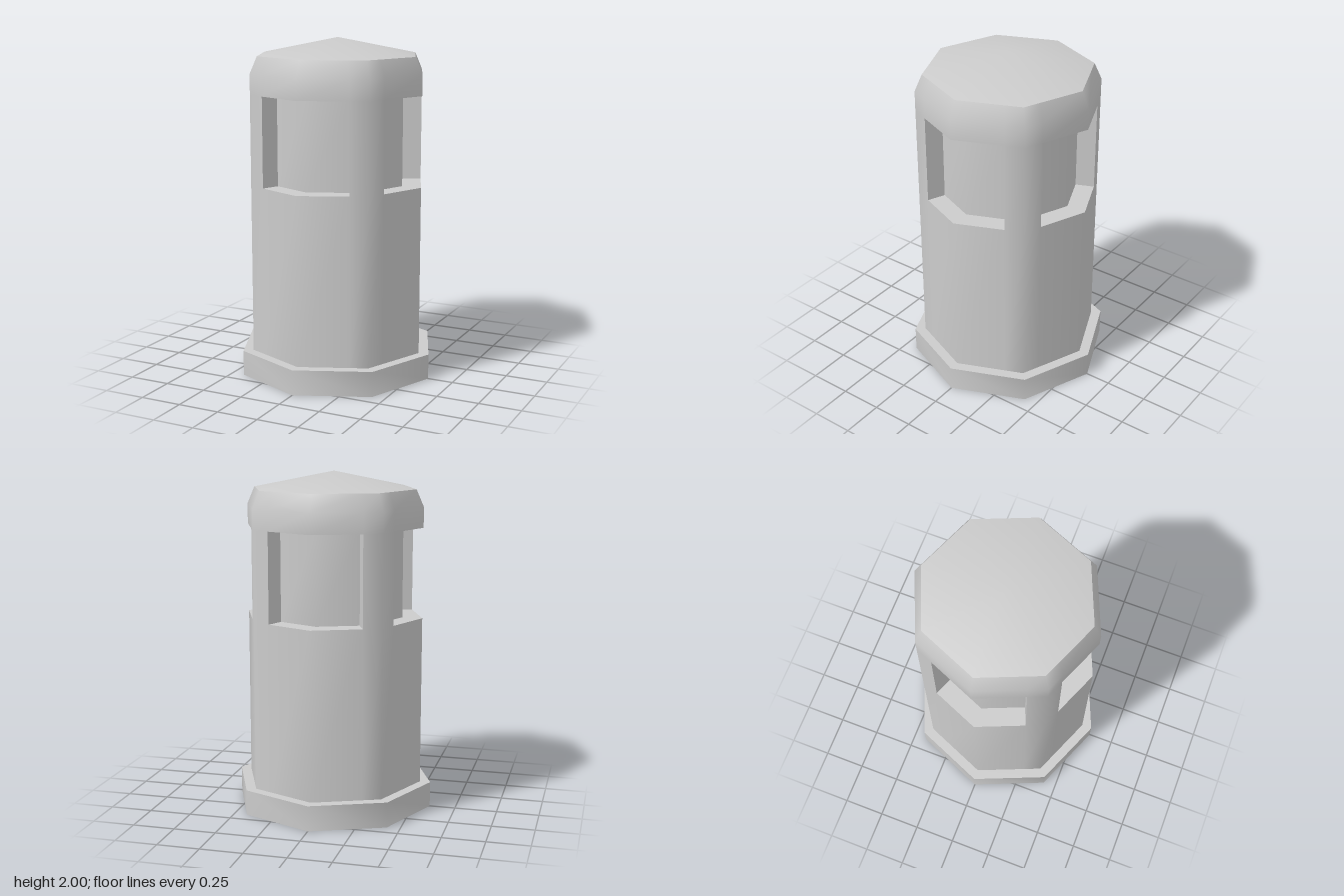
import * as THREE from 'three';
import { toCreasedNormals } from 'three/addons/utils/BufferGeometryUtils.js';

const SIDES = 8;
const R = 0.534;                         // body corner radius
const FLOOR = 0.15, SILL = 1.15, HEAD = 1.68, SHOULDER = 1.8, EAVE = 1.9;
const CREASE = 0.87;                     // smooth around the octagon, sharp elsewhere

const material = new THREE.MeshStandardMaterial({ color: 0xcccccc, side: THREE.DoubleSide });

function addMesh(parent, name, geometry) {
  const mesh = new THREE.Mesh(geometry, material);
  mesh.name = name;
  parent.add(mesh);
}

// Octagonal shell with a corner on each axis, from a bottom-to-top profile
function shell(profile) {
  const points = profile.map(([r, y]) => new THREE.Vector2(r, y));
  return toCreasedNormals(new THREE.LatheGeometry(points, SIDES), CREASE);
}

// Collects quads for one side and repeats them on all four sides
class Quads {
  constructor() { this.corners = []; }
  // corners counter-clockwise, each [x, y, z]
  add(a, b, c, d) { this.corners.push(a, b, c, a, c, d); }
  // band between two outlines of [x, z] points
  band(low, y0, high, y1, skip = () => false) {
    for (let i = 0; i < low.length - 1; i++) {
      if (skip(i)) continue;
      const at = ([x, z], y) => [x, y, z];
      this.add(at(low[i], y0), at(low[i + 1], y0), at(high[i + 1], y1), at(high[i], y1));
    }
  }
  build() {
    const positions = [];
    for (let k = 0; k < 4; k++) {
      const c = Math.round(Math.cos(k * Math.PI / 2)), s = Math.round(Math.sin(k * Math.PI / 2));
      for (const [x, y, z] of this.corners) positions.push(c * x + s * z, y, c * z - s * x);
    }
    const geometry = new THREE.BufferGeometry();
    geometry.setAttribute('position', new THREE.Float32BufferAttribute(positions, 3));
    return toCreasedNormals(geometry, CREASE);
  }
}

export function createModel() {
  const tower = new THREE.Group();
  tower.name = 'tower';

  // Open-bottomed plinth and its ledge
  addMesh(tower, 'base', shell([[0.597, 0], [0.597, FLOOR], [R, FLOOR]]));

  // Outline of a quarter of the wall, with the window edges at +-w
  const half = Math.PI / SIDES;
  const diagonal = R * Math.SQRT1_2;
  const w = 0.275;
  const wz = R - w * Math.tan(half);
  const outline = [[-diagonal, diagonal], [-w, wz], [0, R], [w, wz], [diagonal, diagonal]];
  const eaveOutline = outline.map(([x, z]) => [x * 0.49 / R, z * 0.49 / R]);

  // Wall with four window openings and a sloped shoulder
  const wall = new Quads();
  wall.band(outline, FLOOR, outline, SILL);
  wall.band(outline, SILL, outline, HEAD, (i) => i === 1 || i === 2);
  wall.band(outline, HEAD, outline, SHOULDER);
  wall.band(outline, SHOULDER, eaveOutline, EAVE);
  addMesh(tower, 'wall', wall.build());

  // Window recesses, sunk square to the wall faces
  const depth = 0.11;
  const ix = w - depth * Math.sin(half), iz = wz - depth * Math.cos(half);
  const outer = outline.slice(1, 4);
  const inner = [[-ix, iz], [0, R - depth / Math.cos(half)], [ix, iz]];
  const recess = new Quads();
  recess.band(inner, SILL, inner, HEAD);                              // back panel
  recess.band(outer, SILL, inner, SILL);                              // sill
  recess.band(inner, HEAD, outer, HEAD);                              // head
  recess.band([outer[0], inner[0]], SILL, [outer[0], inner[0]], HEAD); // jambs
  recess.band([inner[2], outer[2]], SILL, [inner[2], outer[2]], HEAD);
  addMesh(tower, 'windowRecesses', recess.build());

  // Shallow pointed roof
  addMesh(tower, 'roof', shell([[0.49, EAVE], [0, 2]]));

  return tower;
}
